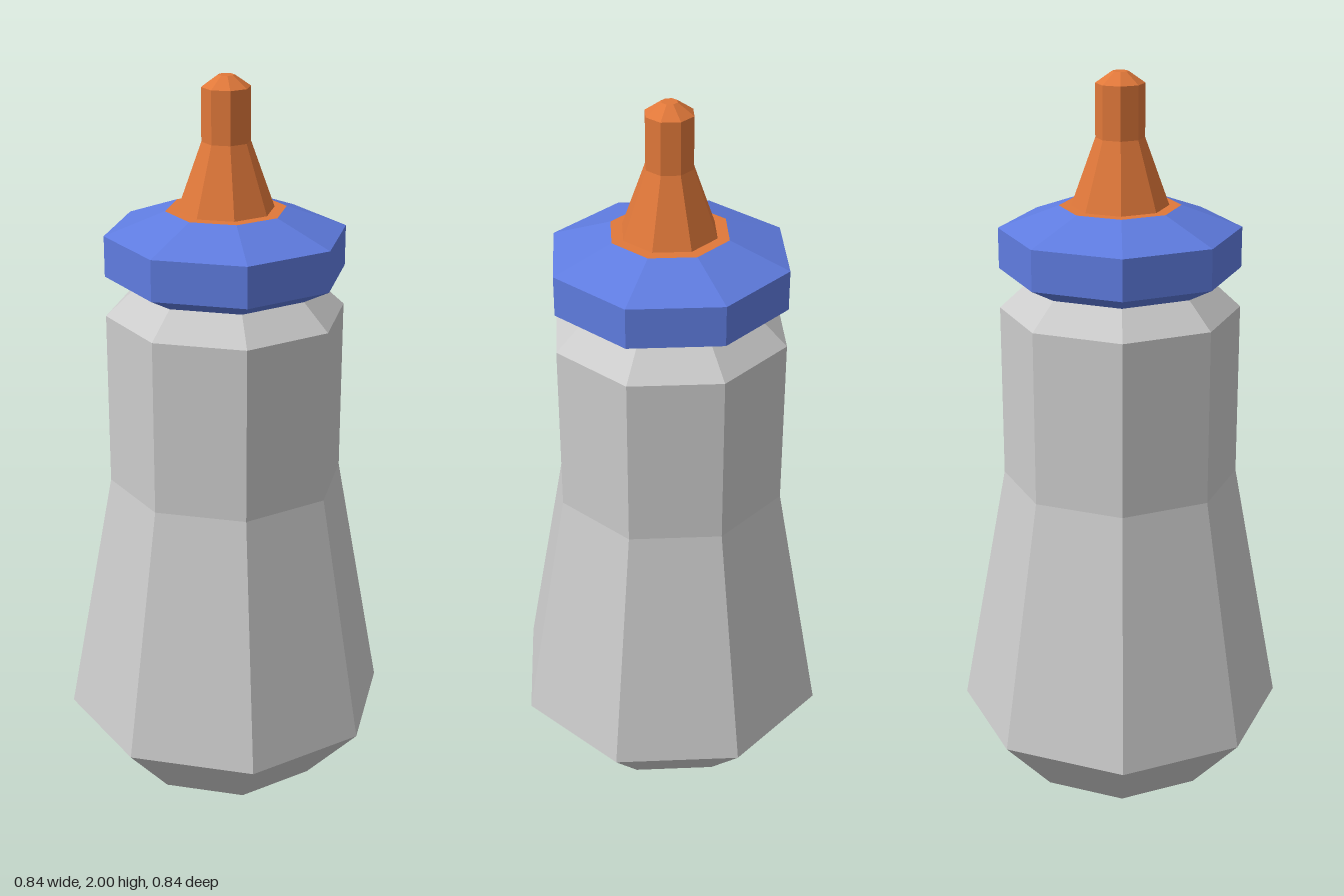
import * as THREE from 'three';

const SIDES = 8;
const HALF = Math.PI / SIDES;

// Eight-sided turned part; profile is [distance to flat side, height] from bottom to top
function turned(name, profile, color) {
  const points = profile.map(([a, y]) => new THREE.Vector2(a / Math.cos(HALF), y));
  const geometry = new THREE.LatheGeometry(points, SIDES, HALF);
  const material = new THREE.MeshStandardMaterial({ color, flatShading: true, side: THREE.DoubleSide });
  const mesh = new THREE.Mesh(geometry, material);
  mesh.name = name;
  return mesh;
}

export function createModel() {
  const group = new THREE.Group();
  group.name = 'babyBottle';
  const grey = 0xcccccc, blue = 0x5f7ce0, orange = 0xe0783a;

  group.add(
    // Bottle with a bevelled foot, tapered belly and shoulder
    turned('bottleBody', [[0, 0], [0.27, 0], [0.42, 0.185], [0.3, 0.89], [0.3, 1.37], [0.23, 1.44]], grey),
    // Screw ring, bevelled above and below
    turned('collar', [[0.23, 1.44], [0.3, 1.48], [0.3, 1.59], [0.15, 1.65]], blue),
    // Flat flange and teat
    turned('teat', [[0.15, 1.65], [0.12, 1.65], [0.06, 1.83], [0.06, 1.97], [0.02, 2], [0, 2]], orange)
  );
  return group;
}
